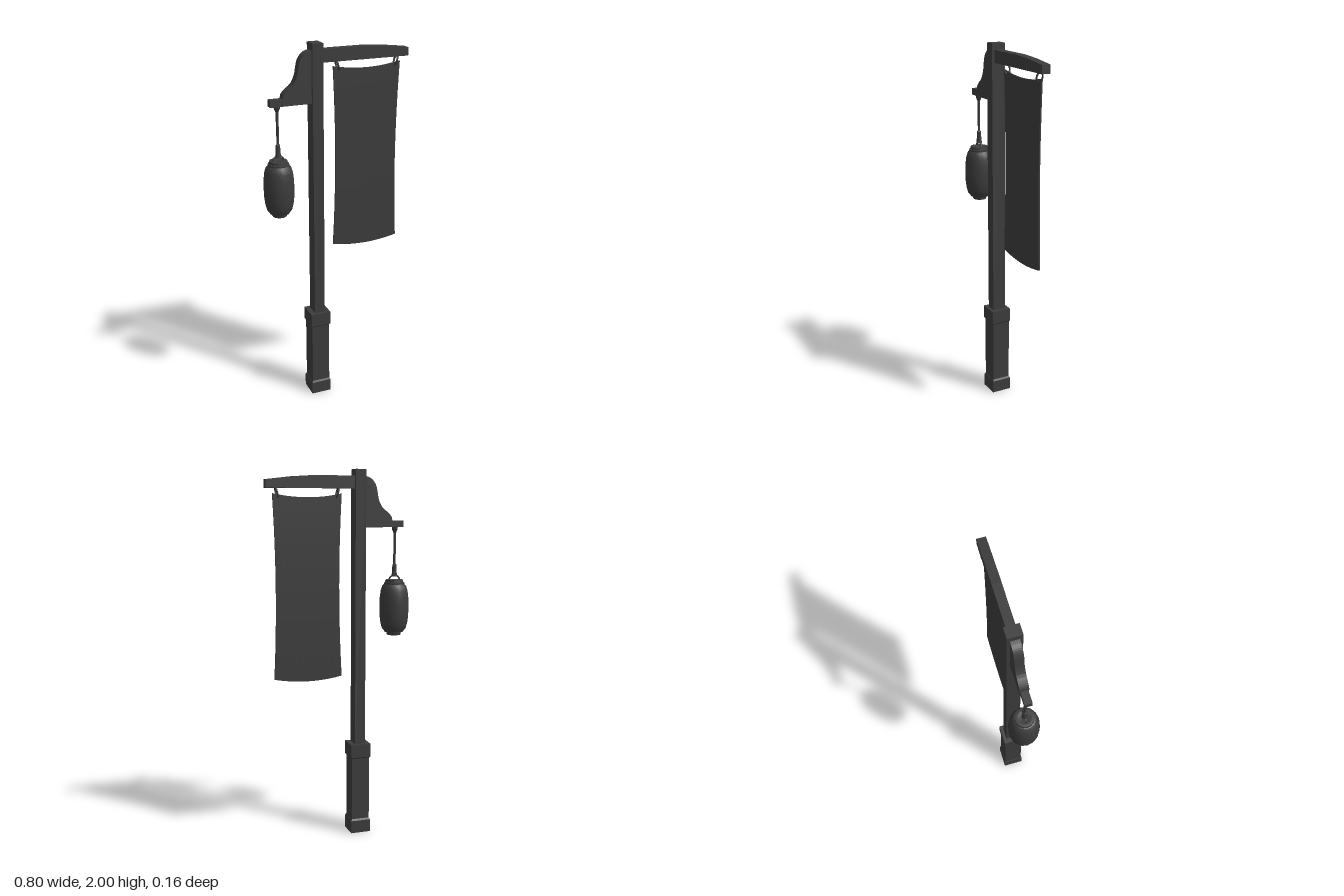
import * as THREE from 'three';

const POST_X = -0.112;
const LANTERN_X = -0.32;
const dark = new THREE.MeshStandardMaterial({ color: 0x3c3c3c });
const darkFlat = new THREE.MeshStandardMaterial({ color: 0x3c3c3c, flatShading: true });

function add(parent, name, geometry, x = 0, y = 0, z = 0, material = darkFlat) {
  const mesh = new THREE.Mesh(geometry, material);
  mesh.name = name;
  mesh.position.set(x, y, z);
  parent.add(mesh);
  return mesh;
}

// Side outline in x/y, given thickness centred on z = 0
function slab(points, depth) {
  const shape = new THREE.Shape(points.map(([x, y]) => new THREE.Vector2(x, y)));
  return new THREE.ExtrudeGeometry(shape, { depth, bevelEnabled: false }).translate(0, 0, -depth / 2);
}

function lathe(points, segments, phi = 0) {
  return new THREE.LatheGeometry(points.map(([r, y]) => new THREE.Vector2(r, y)), segments, phi);
}

// Cloth panel with sides drawn in at the middle and a sagging top and hem
function bannerGeometry() {
  const geo = new THREE.BoxGeometry(1, 1, 0.008, 10, 12, 1);
  const p = geo.attributes.position;
  for (let i = 0; i < p.count; i++) {
    const u = p.getX(i) * 2, v = p.getY(i) * 2;
    const halfWidth = 0.174 + 0.014 * v * v;
    const sag = 0.02 * (1 - u * u);
    p.setXY(i, 0.172 + u * halfWidth, 1.384 + v * 0.489 - sag);
  }
  geo.computeVertexNormals();
  return geo;
}

export function createModel() {
  const model = new THREE.Group();
  model.name = 'lanternPost';

  // Square footing with a collar at each end
  const k = Math.SQRT2;
  const footing = [[0, 0], [0.056, 0], [0.056, 0.07], [0.05, 0.08], [0.05, 0.43],
    [0.056, 0.437], [0.056, 0.51], [0, 0.51]].map(([r, y]) => [r * k, y]);
  add(model, 'footing', lathe(footing, 4, Math.PI / 4), POST_X);

  // Post
  add(model, 'post', new THREE.BoxGeometry(0.058, 1.5, 0.076), POST_X, 1.25);

  // Banner arm, tapering along its top
  add(model, 'bannerArm', slab([[-0.09, 1.9], [0.398, 1.9], [0.398, 1.943],
    [0.27, 1.958], [0.145, 1.966], [-0.09, 1.966]], 0.046));

  // Curved bracket and the bar that carries the lantern
  const curve = new THREE.SplineCurve([[-0.296, 1.73], [-0.292, 1.752], [-0.272, 1.774],
    [-0.24, 1.8], [-0.219, 1.84], [-0.211, 1.88], [-0.203, 1.915], [-0.186, 1.942],
    [-0.165, 1.958], [-0.14, 1.965]].map(([x, y]) => new THREE.Vector2(x, y)));
  const outline = curve.getPoints(24).map((p) => [p.x, p.y]);
  add(model, 'bracket', slab([[-0.14, 1.698], [-0.296, 1.698], ...outline], 0.046));
  add(model, 'lanternBar', new THREE.BoxGeometry(0.22, 0.036, 0.038), -0.252, 1.714);

  // Banner and its two leaning oval rings
  add(model, 'banner', bannerGeometry());
  for (const side of [-1, 1]) {
    const ring = new THREE.TorusGeometry(0.017, 0.005, 6, 14).scale(1, 1.45, 1).rotateY(Math.PI / 2);
    const mesh = add(model, 'bannerRing', ring, 0.172 + side * 0.165, 1.879, 0, dark);
    mesh.rotation.z = -side * 0.27;
    mesh.rotation.z *= -1 * -1;
  }

  // Hanging cord with a flared top and a lower sleeve
  const cord = [[0, 1.698], [0.018, 1.698], [0.016, 1.685], [0.008, 1.665], [0.007, 1.5],
    [0.012, 1.495], [0.013, 1.46], [0.017, 1.43], [0, 1.428]].reverse();
  add(model, 'cord', lathe(cord, 8), LANTERN_X, 0, 0);

  // Lantern handle
  add(model, 'lanternHandle', new THREE.TorusGeometry(0.031, 0.005, 6, 14, Math.PI),
    LANTERN_X, 1.406, 0, dark);

  // Lantern body with stepped caps
  const body = [[0.054, 1.13], [0.066, 1.145], [0.074, 1.175], [0.079, 1.215], [0.08, 1.265],
    [0.079, 1.31], [0.074, 1.35], [0.066, 1.377], [0.054, 1.39]];
  add(model, 'lanternBody', lathe(body, 16), LANTERN_X, 0, 0, dark);
  const topCap = [[0.056, 1.383], [0.056, 1.396], [0.05, 1.398], [0.048, 1.412], [0.036, 1.413], [0, 1.408]];
  add(model, 'lanternTopCap', lathe(topCap, 16), LANTERN_X);
  const bottomCap = [[0, 1.108], [0.037, 1.108], [0.041, 1.124], [0.053, 1.126], [0.056, 1.138]];
  add(model, 'lanternBottomCap', lathe(bottomCap, 16), LANTERN_X);

  return model;
}
